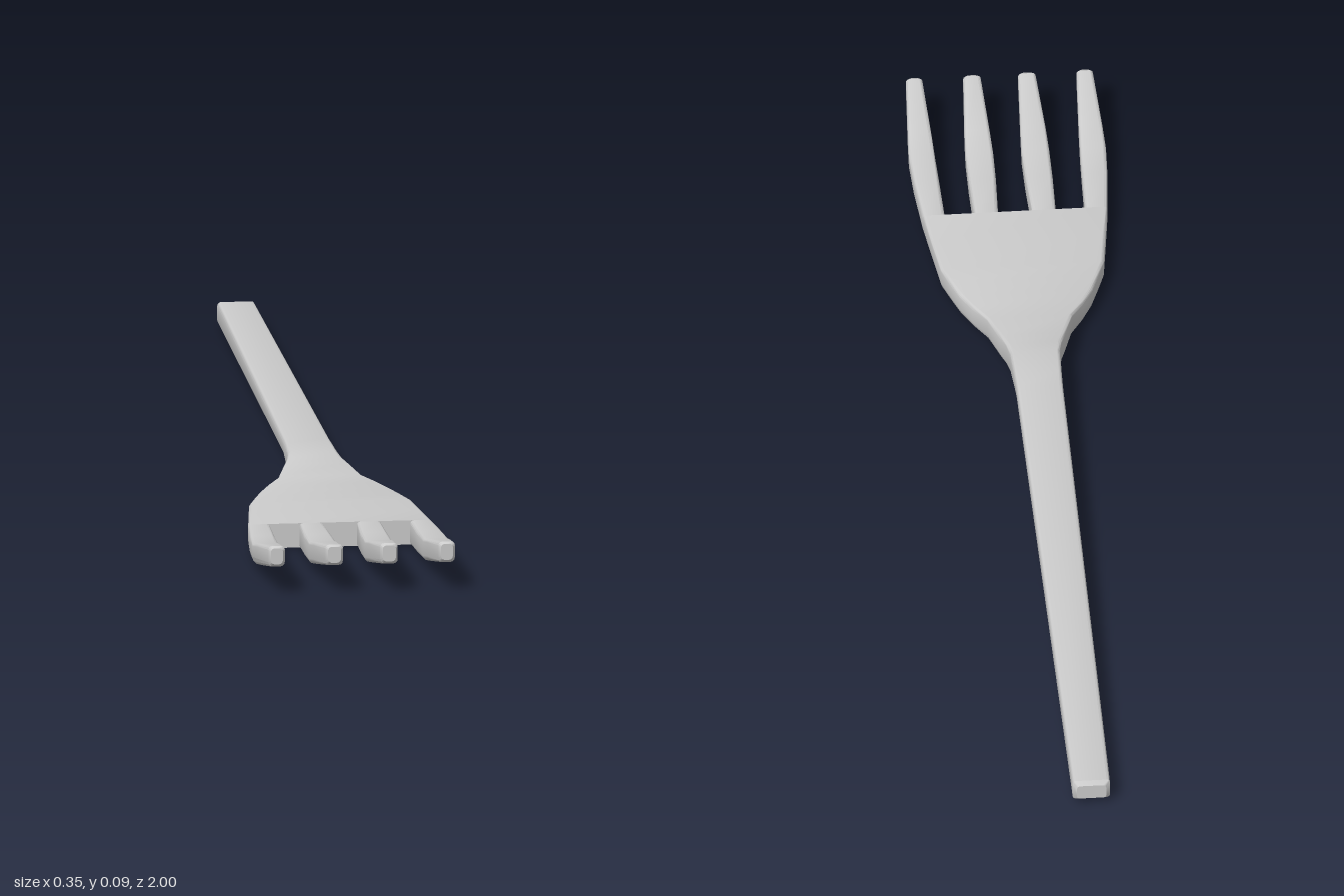
import * as THREE from 'three';
import { toCreasedNormals } from 'three/addons/utils/BufferGeometryUtils.js';

// side profile: [z, underside, top]
const PROFILE = [
  [-1, 0.008, 0.047], [0.12, 0.041, 0.069], [0.16, 0.034, 0.07], [0.22, 0.021, 0.07],
  [0.28, 0.012, 0.062], [0.35, 0.004, 0.053], [0.42, 0.001, 0.048], [0.5, 0, 0.046],
  [0.65, 0.002, 0.046], [0.75, 0.008, 0.049], [0.82, 0.013, 0.053], [0.87, 0.024, 0.064], [1, 0.053, 0.09],
];

// linear lookup in a table keyed by its first column
function lookup(table, z) {
  let i = 0;
  while (i < table.length - 2 && table[i + 1][0] < z) i++;
  const [a, b] = [table[i], table[i + 1]];
  const t = THREE.MathUtils.clamp((z - a[0]) / (b[0] - a[0]), 0, 1);
  return a.map((v, k) => v + (b[k] - v) * t);
}

// rounded rectangle ring; rl and rr are the lower corner radii on each side
function ring({ z, x0, x1, rl, rr, inset = 0 }) {
  let [, y0, y1] = lookup(PROFILE, z);
  x0 += inset; x1 -= inset; y0 += inset; y1 -= inset;
  const top = 0.006;
  const corners = [[x1, y0, -1, -1, rr], [x1, y1, -1, 1, top], [x0, y1, 1, 1, top], [x0, y0, 1, -1, rl]];
  const points = [];
  corners.forEach(([x, y, sx, sy, r], c) => {
    for (let k = 0; k <= 3; k++) {
      const a = (c - 1 + k / 3) * Math.PI / 2;
      points.push([x + sx * r + Math.cos(a) * r, y - sy * r + Math.sin(a) * r, z]);
    }
  });
  return points;
}

// skin a series of rings ordered along +z, with both ends capped
function loft(name, sections) {
  const rings = sections.map(ring);
  const n = rings[0].length;
  const index = [];
  for (let i = 0; i < rings.length - 1; i++) {
    for (let j = 0; j < n; j++) {
      const a = i * n + j, b = i * n + (j + 1) % n;
      index.push(a, b, b + n, a, b + n, a + n);
    }
  }
  const end = (rings.length - 1) * n;
  for (let j = 1; j < n - 1; j++) index.push(0, j + 1, j, end, end + j, end + j + 1);
  const geometry = new THREE.BufferGeometry();
  geometry.setAttribute('position', new THREE.Float32BufferAttribute(rings.flat(2), 3));
  geometry.setIndex(index);
  const mesh = new THREE.Mesh(
    toCreasedNormals(geometry, 0.6),
    new THREE.MeshStandardMaterial({ color: 0xcccccc }),
  );
  mesh.name = name;
  return mesh;
}

export function createModel() {
  const group = new THREE.Group();
  group.name = 'fork';

  // handle, neck and palm: [z, half width, lower corner radius, end inset]
  const body = [
    [-1, 0.032, 0.005, 0.006], [-0.992, 0.033, 0.006], [0.12, 0.041, 0.006], [0.16, 0.042, 0.007],
    [0.22, 0.044, 0.009], [0.25, 0.049, 0.01], [0.28, 0.058, 0.011], [0.34, 0.075, 0.013],
    [0.38, 0.098, 0.014], [0.42, 0.117, 0.015], [0.46, 0.131, 0.015], [0.5, 0.144, 0.015],
    [0.58, 0.154, 0.015], [0.655, 0.163, 0.015],
  ];
  group.add(loft('handleAndPalm', body.map(([z, w, r, inset]) => ({ z, x0: -w, x1: w, rl: r, rr: r, inset }))));

  // tines on the left side: [z, inner x, outer x, inner radius, outer radius, end inset]
  const tines = {
    inner: [
      [0.655, 0.03, 0.072, 0.004, 0.004], [0.75, 0.026, 0.074, 0.007, 0.007], [0.82, 0.025, 0.074, 0.009, 0.009],
      [0.87, 0.027, 0.072, 0.009, 0.009], [0.994, 0.033, 0.064, 0.008, 0.008], [1, 0.033, 0.064, 0.007, 0.007, 0.004],
    ],
    outer: [
      [0.655, 0.124, 0.163, 0.004, 0.015], [0.75, 0.126, 0.171, 0.007, 0.015], [0.82, 0.128, 0.174, 0.009, 0.015],
      [0.87, 0.13, 0.172, 0.009, 0.013], [0.994, 0.136, 0.165, 0.008, 0.008], [1, 0.136, 0.165, 0.007, 0.007, 0.004],
    ],
  };
  for (const [kind, rows] of Object.entries(tines)) {
    group.add(loft(`${kind}TineLeft`, rows.map(([z, a, b, ra, rb, inset]) => ({ z, x0: a, x1: b, rl: ra, rr: rb, inset }))));
    group.add(loft(`${kind}TineRight`, rows.map(([z, a, b, ra, rb, inset]) => ({ z, x0: -b, x1: -a, rl: rb, rr: ra, inset }))));
  }
  return group;
}
